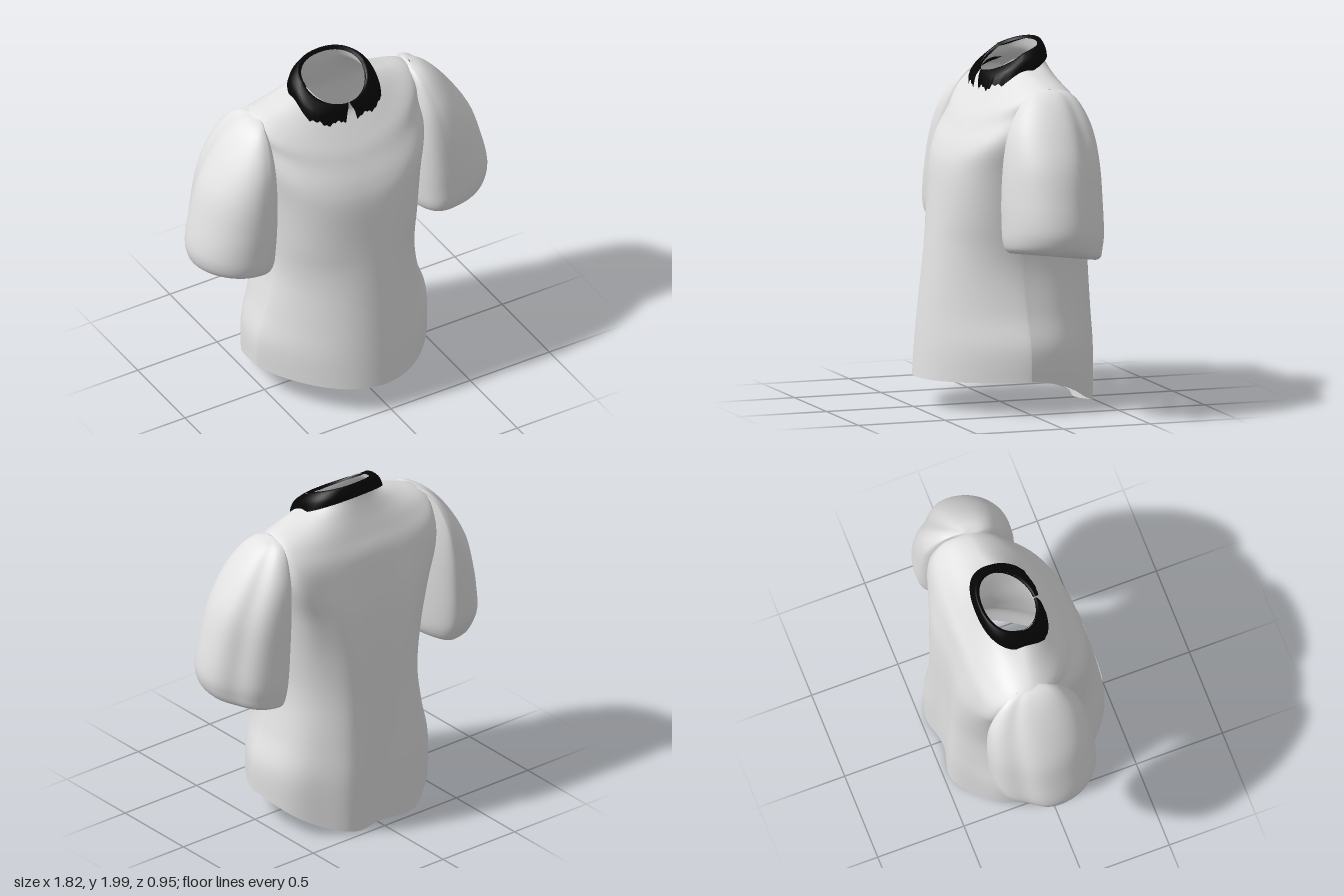
import * as THREE from 'three';

const fabric = new THREE.MeshStandardMaterial({ color: 0xe2e2e2, side: THREE.DoubleSide });
fabric.name = 'light fabric';
const black = new THREE.MeshStandardMaterial({ color: 0x050505, side: THREE.DoubleSide });
black.name = 'black trim';

// Smooth interpolation between rows of cross-section parameters, v in 0..1
function sampleRows(rows, v) {
  const f = Math.min(Math.max(v, 0), 1) * (rows.length - 1);
  const i = Math.min(Math.floor(f), rows.length - 2), k = f - i;
  const at = (n) => rows[Math.min(Math.max(n, 0), rows.length - 1)];
  const a = at(i - 1), b = at(i), c = at(i + 1), d = at(i + 2);
  return b.map((p, j) => {
    const m0 = (c[j] - a[j]) / 2, m1 = (d[j] - b[j]) / 2, q = c[j] - p;
    return p + k * (m0 + k * (3 * q - 2 * m0 - m1 + k * (m0 + m1 - 2 * q)));
  });
}

// Grid surface from point(u, v); closed surfaces wrap around in u
function loft(point, nu, nv, closed) {
  const pos = [], index = [], cols = closed ? nu : nu + 1;
  for (let j = 0; j <= nv; j++)
    for (let i = 0; i < cols; i++) pos.push(...point(i / nu, j / nv));
  for (let j = 0; j < nv; j++)
    for (let i = 0; i < nu; i++) {
      const a = j * cols + i, b = j * cols + ((i + 1) % cols), c = a + cols, d = b + cols;
      index.push(a, c, b, b, c, d);
    }
  const g = new THREE.BufferGeometry();
  g.setAttribute('position', new THREE.Float32BufferAttribute(pos, 3));
  g.setIndex(index);
  g.computeVertexNormals();
  return g;
}

// Signed power, used to square or sharpen a cross-section
const spow = (n, p) => Math.sign(n) * Math.abs(n) ** p;

// Point on a body ring; powers below 1 square the front or back, above 1 sharpen it
function ringPoint([yF, yS, yB, w, zF, zS, zB, pF, pB, fold, cx], t, q = 1.5) {
  const c = Math.cos(t), s = Math.sin(t), m = Math.abs(s), front = s > 0;
  const p = front ? pF : pB;
  const x = cx + w * spow(c, Math.min(1, p));
  const y = yS + ((front ? yF : yB) - yS) * m ** q;
  let z = zS + ((front ? zF : zB) - zS) * m ** p;
  if (!front) z += fold * Math.cos((2 * Math.PI * (x - cx)) / 0.42) * m * m;
  return [x, y, z];
}

// yFront, ySide, yBack, half width, zFront, zSide, zBack, front power, back power, fold, centre x
const torsoRows = [
  [0.17, 0.19, 0.01, 0.53, 0.475, 0, -0.462, 1.7, 0.8, 0.026, -0.02],
  [0.35, 0.37, 0.3, 0.525, 0.462, 0, -0.462, 1.65, 0.78, 0.026, -0.02],
  [0.55, 0.56, 0.53, 0.467, 0.442, 0, -0.455, 1.45, 0.75, 0.024, -0.025],
  [0.8, 0.8, 0.8, 0.418, 0.412, 0, -0.445, 1.15, 0.7, 0.02, -0.025],
  [1.05, 1.05, 1.05, 0.425, 0.38, -0.02, -0.437, 0.9, 0.62, 0.015, -0.025],
  [1.3, 1.32, 1.3, 0.455, 0.347, -0.1, -0.42, 0.75, 0.5, 0.01, -0.022],
  [1.42, 1.55, 1.48, 0.505, 0.31, -0.17, -0.39, 0.75, 0.4, 0.005, -0.015],
  [1.53, 1.69, 1.62, 0.51, 0.25, -0.17, -0.36, 0.85, 0.45, 0, -0.018],
  [1.6, 1.775, 1.72, 0.495, 0.21, -0.12, -0.315, 0.95, 0.65, 0, -0.025],
  [1.67, 1.83, 1.82, 0.34, 0.16, -0.09, -0.27, 0.95, 0.85, 0, -0.028],
  [1.77, 1.87, 1.91, 0.215, 0.09, -0.07, -0.235, 0.9, 0.9, 0, -0.025],
  [1.82, 1.925, 1.985, 0.185, 0.09, -0.07, -0.215, 1, 0.9, 0, -0.025],
];

const collarRows = [
  [1.76, 1.84, 1.925, 0.255, 0.13, -0.08, -0.25, 0.65, 0.85, 0, -0.025],
  [1.8, 1.9, 1.96, 0.238, 0.12, -0.07, -0.245, 0.75, 0.85, 0, -0.025],
  [1.835, 1.94, 1.997, 0.197, 0.1, -0.07, -0.227, 1, 0.9, 0, -0.025],
  [1.825, 1.925, 1.98, 0.178, 0.085, -0.07, -0.208, 1, 0.9, 0, -0.025],
];

// y, inner x, outer x, front z, back z; the last rows turn the cuff inward
const sleeveRows = [
  [1.79, 0.465, 0.485, -0.1, -0.13],
  [1.768, 0.445, 0.55, -0.01, -0.22],
  [1.7, 0.43, 0.63, 0.065, -0.28],
  [1.57, 0.42, 0.73, 0.135, -0.33],
  [1.4, 0.415, 0.825, 0.173, -0.35],
  [1.2, 0.42, 0.882, 0.19, -0.355],
  [1.05, 0.43, 0.91, 0.193, -0.355],
  [0.97, 0.44, 0.905, 0.19, -0.345],
  [0.92, 0.46, 0.88, 0.175, -0.335],
  [0.905, 0.485, 0.84, 0.14, -0.3],
  [0.94, 0.51, 0.81, 0.11, -0.27],
];

function sleevePoint(side, u, v) {
  let [y, xi, xo, zf, zb] = sampleRows(sleeveRows, v);
  if (side < 0) {
    xi += 0.04 * Math.min(1, v * 8);
    zb -= 0.05 * Math.sin(Math.PI * Math.min(1, v * 1.3));
  }
  const t = u * Math.PI * 2, c = Math.cos(t), s = Math.sin(t);
  const xm = xi + 0.4 * (xo - xi), zm = (zf + zb) / 2;
  // the body side is squarer and runs outward toward the back
  const inner = c < 0;
  const z = zm + ((zf - zb) / 2) * spow(s, inner ? 0.75 : 1);
  const x = inner
    ? xm - (xm - xi + 0.2 * Math.min(0, z + 0.05)) * Math.abs(c) ** 0.6
    : xm + (xo - xm) * c;
  // cuff slopes down toward the back and the body
  const tilt = THREE.MathUtils.smoothstep(1.35 - y, 0, 0.4);
  y += tilt * 0.13 * (z + x - 0.62);
  // soft vertical crease on the outer side
  const crease = 0.028 * Math.sin(Math.PI * v) * Math.exp(-(((t - 5.6) / 0.3) ** 2));
  return [side * (x - crease * c), y, z - crease * s];
}

export function createModel() {
  const shirt = new THREE.Group();
  shirt.name = 'shirt';
  const add = (name, geometry, material) => {
    const mesh = new THREE.Mesh(geometry, material);
    mesh.name = name;
    shirt.add(mesh);
  };

  // Body, open at the hem and the neck
  add('torso', loft((u, v) => ringPoint(sampleRows(torsoRows, v), u * Math.PI * 2), 128, 66, true), fabric);

  // Puffed sleeves
  for (const [name, side] of [['leftSleeve', 1], ['rightSleeve', -1]])
    add(name, loft((u, v) => sleevePoint(side, u, v), 64, 50, true), fabric);

  // Folded collar, split at the front, with a ragged lower edge
  add('collar', loft((u, v) => {
    const gap = THREE.MathUtils.lerp(0.05, 0.02, Math.min(1, v * 1.5));
    const t = Math.PI / 2 + gap + u * (Math.PI * 2 - 2 * gap);
    const p = ringPoint(sampleRows(collarRows, v), t, 0.9);
    const front = Math.max(0, Math.sin(t)), a = Math.abs(p[0] + 0.025);
    const rag = 0.012 * Math.cos((a - 0.14) * 60) + 0.007 * Math.sin(p[0] * 190);
    p[1] -= (rag + 0.012) * Math.min(1, front * 2) * Math.max(0, 1 - v * 3);
    return p;
  }, 160, 12, false), black);

  // Overlapping placket strip down the front
  const onFront = (x, y) => {
    let lo = 0, hi = 1, p;
    for (let n = 0; n < 24; n++) {
      const v = (lo + hi) / 2, row = sampleRows(torsoRows, v);
      const c = spow((x - row[10]) / row[3], 1 / Math.min(1, row[7]));
      p = ringPoint(row, Math.acos(c));
      if (p[1] < y) lo = v; else hi = v;
    }
    return [x, y, p[2] + 0.004];
  };
  add('placket', loft((u, v) => onFront(-0.073 + 0.073 * u, 0.18 + 1.57 * v), 6, 50, false), fabric);

  return shirt;
}
